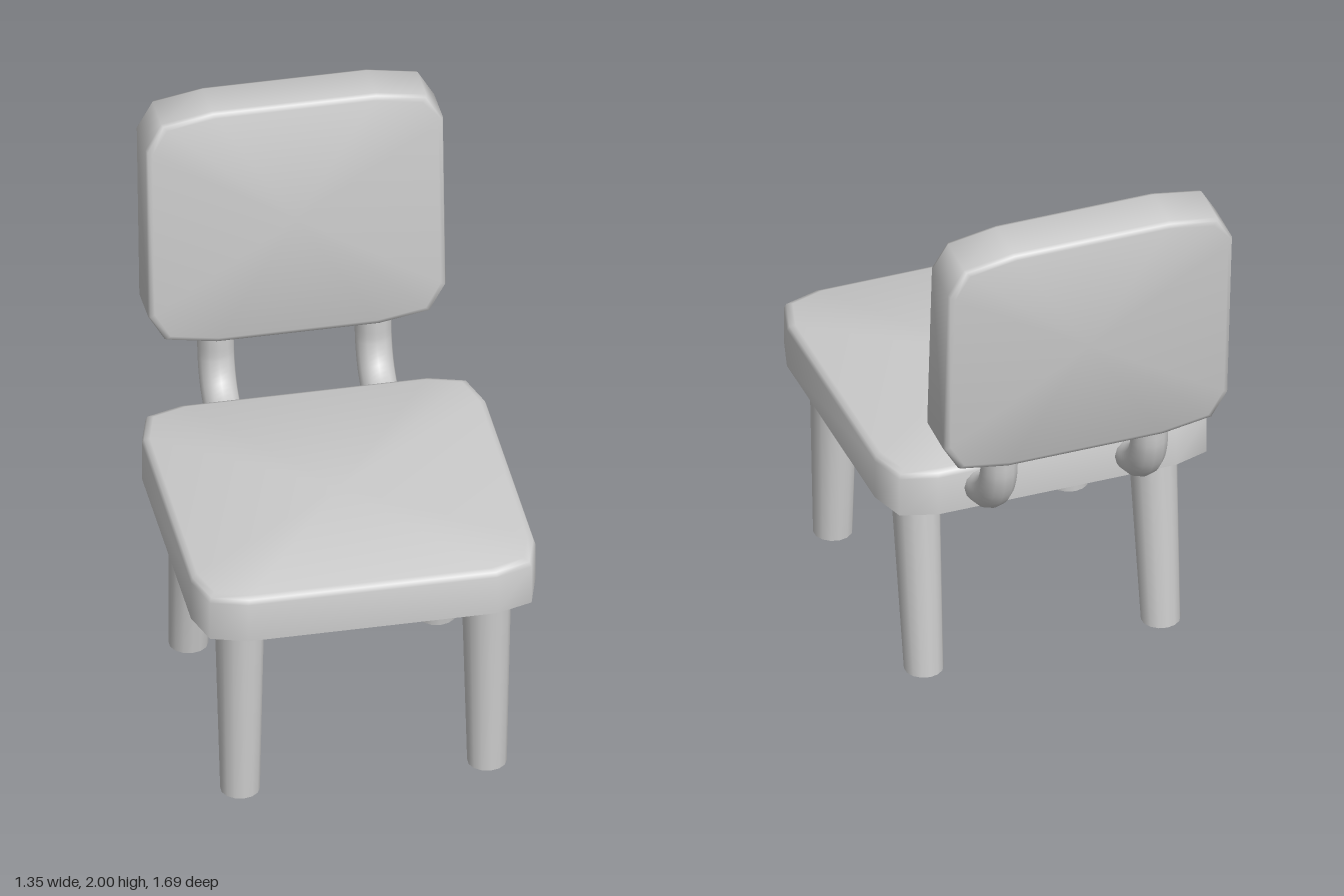
import * as THREE from 'three';
import { toCreasedNormals } from 'three/addons/utils/BufferGeometryUtils.js';

const material = new THREE.MeshStandardMaterial({ color: 0xcccccc });

function add(parent, geometry, name) {
  const mesh = new THREE.Mesh(geometry, material);
  mesh.name = name;
  parent.add(mesh);
  return mesh;
}

// Cushion: a quarter outline mirrored into a full loop, lofted along z.
// Each ring is [inset, z]; both ends are closed.
function cushion(quarter, rings) {
  const back = [...quarter].reverse();
  const loop = [
    ...quarter,
    ...back.map(([x, y]) => [-x, y]),
    ...quarter.map(([x, y]) => [-x, -y]),
    ...back.map(([x, y]) => [x, -y]),
  ];
  const n = loop.length;
  const halfX = quarter[0][0];
  const halfY = quarter[quarter.length - 1][1];
  const pos = [];
  const index = [];
  for (const [inset, z] of rings) {
    for (const [x, y] of loop) pos.push(x * (1 - inset / halfX), y * (1 - inset / halfY), z);
  }
  const last = (rings.length - 1) * n;
  const bottom = rings.length * n;
  pos.push(0, 0, rings[0][1], 0, 0, rings[rings.length - 1][1]);
  for (let j = 0; j < n; j++) {
    const k = (j + 1) % n;
    for (let r = 0; r < last; r += n) {
      index.push(r + j, r + k, r + n + k, r + j, r + n + k, r + n + j);
    }
    index.push(bottom, k, j, bottom + 1, last + j, last + k);
  }
  const geometry = new THREE.BufferGeometry();
  geometry.setAttribute('position', new THREE.Float32BufferAttribute(pos, 3));
  geometry.setIndex(index);
  return toCreasedNormals(geometry, Math.PI / 3);
}

// Tapered leg with a level foot, sheared so that its top leans forward
function leg(lean) {
  const height = 0.76;
  const geometry = new THREE.CylinderGeometry(0.087, 0.069, height, 14);
  geometry.translate(0, height / 2, 0);
  const p = geometry.attributes.position;
  for (let i = 0; i < p.count; i++) p.setZ(i, p.getZ(i) + (lean * p.getY(i)) / height);
  geometry.computeVertexNormals();
  return toCreasedNormals(geometry, Math.PI / 4);
}

export function createModel() {
  const model = new THREE.Group();
  model.name = 'chair';

  // The whole chair is turned slightly about the vertical
  const chair = new THREE.Group();
  chair.name = 'turnedChair';
  chair.position.set(-0.005, 0, 0.171);
  chair.rotation.y = THREE.MathUtils.degToRad(-9.8);
  model.add(chair);

  // Seat: flat underneath, softened around the top
  const seat = cushion(
    [[0.608, 0.435], [0.568, 0.57], [0.44, 0.611]],
    [[0, 0.73], [0, 0.88], [0.007, 0.897], [0.025, 0.905]],
  );
  seat.rotateX(-Math.PI / 2);
  add(chair, seat, 'seat');

  // Backrest: softened front and back, leaning slightly backwards
  const backrest = add(chair, cushion(
    [[0.525, 0.335], [0.468, 0.432], [0.29, 0.462]],
    [[0.02, -0.098], [0.005, -0.092], [0, -0.078], [0, 0.078], [0.005, 0.092], [0.02, 0.098]],
  ), 'backrest');
  backrest.position.set(-0.003, 1.533, -0.825);
  backrest.rotation.x = THREE.MathUtils.degToRad(-4);

  // Bent tubes from the seat's rear edge up into the backrest
  const bend = [[0.8, -0.5], [0.812, -0.58], [0.832, -0.665], [0.885, -0.735], [0.97, -0.776], [1.07, -0.784], [1.16, -0.79]];
  const path = new THREE.CatmullRomCurve3(bend.map(([y, z]) => new THREE.Vector3(0, y, z)));

  for (const [side, name] of [[1, 'left'], [-1, 'right']]) {
    add(chair, new THREE.TubeGeometry(path, 20, 0.065, 12), name + 'BackSupport').position.x = side * 0.278;
    add(chair, leg(-0.012), name + 'FrontLeg').position.set(side * 0.436, 0, 0.442);
    add(chair, leg(0.09), name + 'BackLeg').position.set(side * 0.438, 0, -0.462);
  }

  return model;
}
